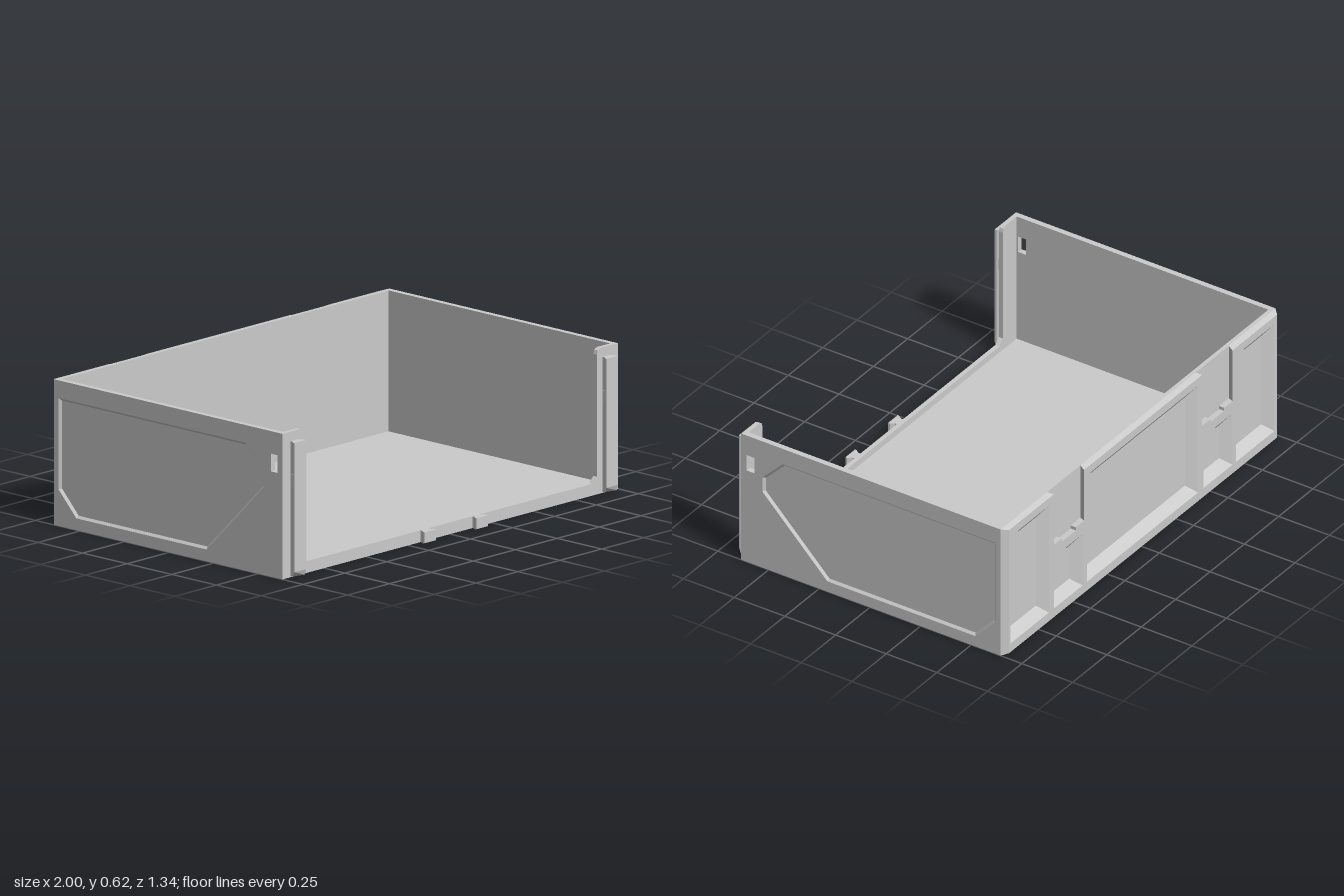
import * as THREE from 'three';

const H = 0.615, FLOOR = 0.02;
const grey = new THREE.MeshStandardMaterial({ color: 0xcccccc, flatShading: true });
const greyDouble = new THREE.MeshStandardMaterial({ color: 0xcccccc, flatShading: true, side: THREE.DoubleSide });
const vecs = (pts) => pts.map(([x, y]) => new THREE.Vector2(x, y));
const rect = (x0, y0, x1, y1) => [[x0, y0], [x1, y0], [x1, y1], [x0, y1]];

// Flat plate from an outline and holes, thickness along +z
function plate(pts, holes, depth) {
  const shape = new THREE.Shape(vecs(pts));
  holes.forEach((h) => shape.holes.push(new THREE.Path(vecs(h))));
  return new THREE.ExtrudeGeometry(shape, { depth, bevelEnabled: false });
}

// Move each vertex by a rule
function reshape(geo, rule) {
  const p = geo.attributes.position, v = new THREE.Vector3();
  for (let i = 0; i < p.count; i++) {
    rule(v.fromBufferAttribute(p, i));
    p.setXYZ(i, v.x, v.y, v.z);
  }
  geo.computeVertexNormals();
  return geo;
}

// Sloping walls of a pocket: outline at z = 0, inset outline at z = depth
function pocketWalls(pts, inset, depth) {
  const outer = vecs(pts);
  if (THREE.ShapeUtils.area(outer) < 0) outer.reverse();
  const n = outer.length;
  const normal = (i) => {
    const d = outer[(i + 1) % n].clone().sub(outer[i % n]).normalize();
    return new THREE.Vector2(-d.y, d.x);
  };
  const inner = outer.map((p, i) => {
    const a = normal(i + n - 1), b = normal(i);
    return p.clone().addScaledVector(a.clone().add(b), inset / (1 + a.dot(b)));
  });
  const pos = [];
  for (let i = 0; i < n; i++) {
    const j = (i + 1) % n;
    const a = [outer[i].x, outer[i].y, 0], b = [outer[j].x, outer[j].y, 0];
    const c = [inner[j].x, inner[j].y, depth], d = [inner[i].x, inner[i].y, depth];
    pos.push(...a, ...b, ...c, ...a, ...c, ...d);
  }
  const geo = new THREE.BufferGeometry();
  geo.setAttribute('position', new THREE.Float32BufferAttribute(pos, 3));
  geo.computeVertexNormals();
  return geo;
}

// Rectangle with its upper corner on the +x side cut off
const cutRect = (x0, y0, x1, y1, c) => [[x0, y0], [x1, y0], [x1, y1 - c], [x1 - c, y1], [x0, y1]];

// Dovetail rail standing on y = 0, its back on z = 0, with a slanted foot
function dovetail(height, foot) {
  const profile = [[-0.022, 0], [-0.022, -0.01], [-0.035, -0.026], [-0.035, -0.035],
    [0.035, -0.035], [0.035, -0.026], [0.022, -0.01], [0.022, 0]];
  const geo = plate(profile, [], height).rotateX(-Math.PI / 2);
  return reshape(geo, (v) => { if (v.y < 0.001 && v.z > 0.03) v.y = foot; });
}

export function createModel() {
  const model = new THREE.Group();
  const add = (name, geo, x = 0, y = 0, z = 0, material = grey) => {
    const mesh = new THREE.Mesh(geo, material);
    mesh.name = name;
    mesh.position.set(x, y, z);
    model.add(mesh);
    return mesh;
  };

  // Floor
  add('floor', new THREE.BoxGeometry(1.95, FLOOR, 1.26), 0, FLOOR / 2, -0.015);

  // Side walls: inner plate, outer plate with a recessed panel, through slot
  const slot = rect(0.57, 0.445, 0.608, 0.52);
  const panel = [[0.53, 0.37], [0.53, 0.44], [0.43, 0.54], [-0.62, 0.54],
    [-0.62, 0.155], [-0.52, 0.05], [0.21, 0.05]];
  const wall = rect(-0.645, 0, 0.615, H);
  const turn = (geo) => geo.rotateY(-Math.PI / 2);
  for (const s of [1, -1]) {
    const side = s > 0 ? 'right' : 'left';
    add(side + 'WallInner', turn(plate(wall, [slot], 0.015)), s > 0 ? 0.99 : -0.975);
    add(side + 'WallOuter', turn(plate(wall, [slot, panel], 0.01)), s > 0 ? 1 : -0.99);
    add(side + 'PanelBevel', turn(pocketWalls(panel, 0.01, s * 0.01)), s, 0, 0, greyDouble);
  }

  // Back wall: pockets sunk into it, and two dovetail slots open at the top
  const pockets = [
    cutRect(-0.4, 0.05, 0.41, 0.57, 0.03),
    cutRect(0.685, 0.05, 0.965, 0.57, 0.06),
    cutRect(-0.955, 0.05, -0.675, 0.57, 0.06),
    cutRect(0.44, 0.05, 0.65, 0.3, 0.09),
    cutRect(-0.65, 0.05, -0.44, 0.3, 0.09),
  ];
  const slotEdge = (c) => [[c + 0.11, H], [c + 0.11, 0.36], [c + 0.05, 0.36], [c + 0.05, 0.345],
    [c - 0.05, 0.345], [c - 0.05, 0.36], [c - 0.11, 0.36], [c - 0.11, H]];
  const backOutline = [[-1, 0], [1, 0], [1, H], ...slotEdge(0.54), ...slotEdge(-0.54), [-1, H]];
  const backOuter = reshape(plate(backOutline, pockets, 0.025), (v) => {
    if (v.z < 0.001) {
      if (Math.abs(v.x) > 0.99) v.x *= 0.975;
      v.y = Math.min(Math.max(v.y, 0.008), H - 0.008);
    } else if (v.y > 0.355) {
      const c = Math.sign(v.x) * 0.54, d = v.x - c;
      if (Math.abs(d) > 0.1 && Math.abs(d) < 0.12) v.x = c + d * 1.1;
    }
  });
  add('backOuterWall', backOuter, 0, 0, -0.67);
  add('backMiddleWall', plate(rect(-0.975, 0, 0.975, H), pockets, 0.01), 0, 0, -0.645);
  add('backInnerWall', new THREE.BoxGeometry(1.95, H, 0.008), 0, H / 2, -0.631);
  pockets.forEach((p) => add('backPocket', pocketWalls(p, 0.045, 0.035), 0, 0, -0.67, greyDouble));

  // Front frame: two posts joined by a low sill
  const half = [[1, 0], [1, H], [0.895, H], [0.88, H - 0.008], [0.875, H - 0.025], [0.875, 0.075], [0.85, 0.05]];
  const frame = [...half, ...half.map(([x, y]) => [-x, y]).reverse()];
  add('frontFrame', plate(frame, [], 0.02), 0, 0, 0.615);

  // Dovetail rails with small detents, and short clips on the sill
  for (const s of [1, -1]) {
    add('frontRail', dovetail(0.57, 0.025), s * 0.93, 0.005, 0.635);
    add('railDetent', new THREE.BoxGeometry(0.06, 0.055, 0.012), s * 0.93, 0.41, 0.652);
    add('sillClip', dovetail(0.05, 0.004), s * 0.155, 0, 0.635);
  }
  return model;
}
